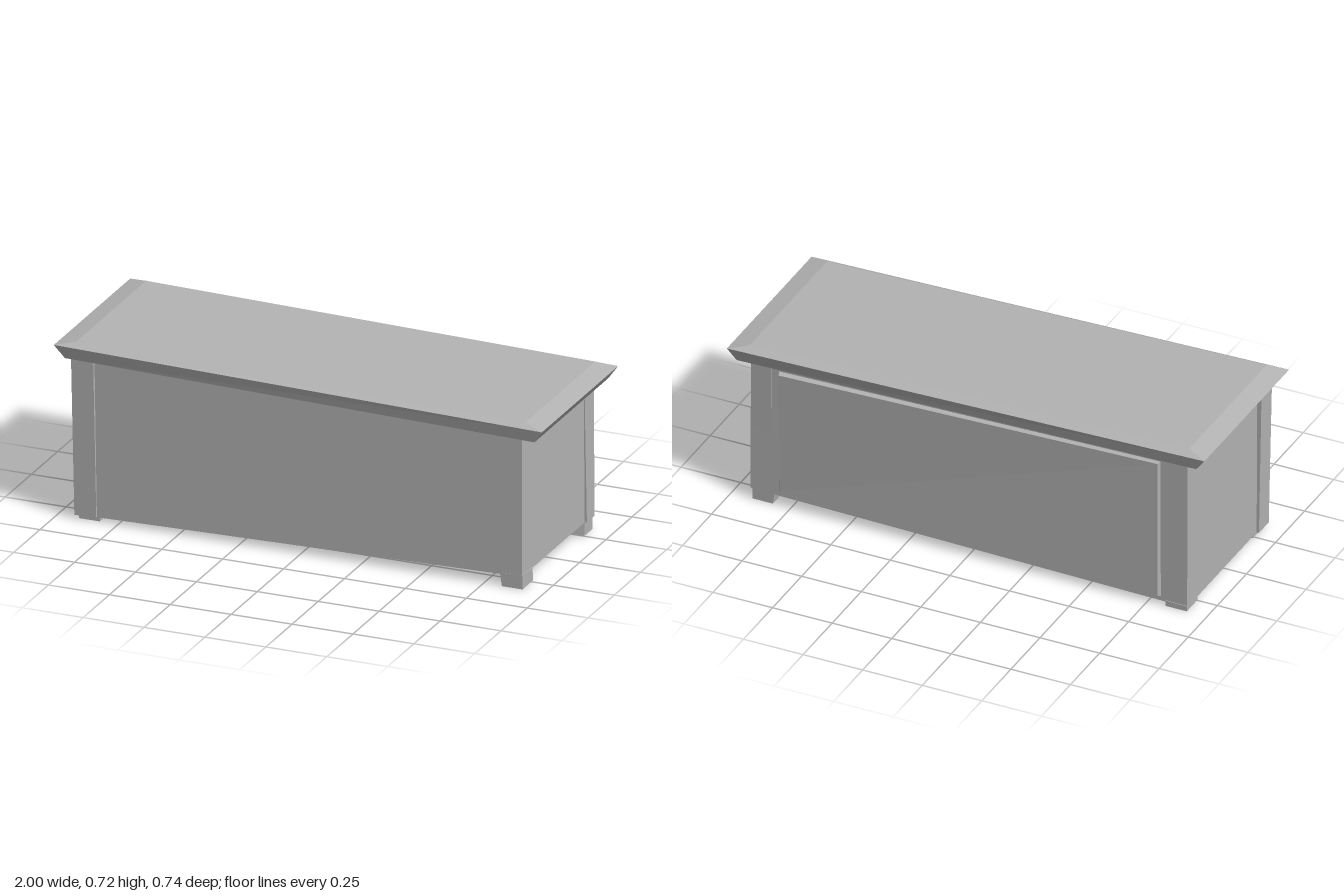
import * as THREE from 'three';

const grey = new THREE.MeshStandardMaterial({ color: 0xb4b4b4 });
grey.name = 'plain grey';

// Four-cornered rings stacked along y (or outward), skinned flat and capped at both ends.
// Corners run anticlockwise as seen from the far end of the stack.
function loft(name, rings) {
  const pos = [];
  const quad = (a, b, c, d) => pos.push(...a, ...b, ...c, ...a, ...c, ...d);
  for (let r = 0; r < rings.length - 1; r++) {
    for (let i = 0; i < 4; i++) {
      const j = (i + 1) % 4;
      quad(rings[r][i], rings[r][j], rings[r + 1][j], rings[r + 1][i]);
    }
  }
  quad(...rings[rings.length - 1]);
  quad(...[...rings[0]].reverse());
  const geo = new THREE.BufferGeometry();
  geo.setAttribute('position', new THREE.Float32BufferAttribute(pos, 3));
  geo.computeVertexNormals();
  const mesh = new THREE.Mesh(geo, grey);
  mesh.name = name;
  return mesh;
}

// Horizontal ring: yL and yR are the heights at the two ends
const ring = (xL, xR, yL, yR, zBack, zFront, skew = 0) => [
  [xL, yL, zFront + skew], [xR, yR, zFront - skew],
  [xR, yR, zBack - skew], [xL, yL, zBack + skew],
];

// The whole chest sags towards +x and its underside rises
const underLid = (x) => 0.632 - 0.02 * x;
const underBody = (x) => 0.033 + 0.019 * x;
const level = (f, xL, xR, zB, zF, skew) => ring(xL, xR, f(xL), f(xR), zB, zF, skew);

export function createModel() {
  const model = new THREE.Group();
  model.name = 'chest';

  // Lid with a sharp rim and bevels above and below
  model.add(loft('lid', [
    ring(-0.96, 0.965, 0.65, 0.612, -0.352, 0.352, 0.003),
    ring(-1, 1, 0.702, 0.662, -0.365, 0.364, 0.004),
    ring(-0.92, 0.92, 0.718, 0.68, -0.332, 0.334, 0.004),
  ]));

  // Main box
  model.add(loft('body', [
    level(underBody, -0.915, 0.907, -0.338, 0.337, 0.003),
    level((x) => underLid(x) + 0.004, -0.918, 0.907, -0.34, 0.337, 0.003),
  ]));

  // Corner posts that stand proud of the box
  model.add(loft('frontPost', [
    level(underBody, -0.925, -0.835, 0.262, 0.346),
    level(underLid, -0.936, -0.845, 0.262, 0.352),
  ]));
  model.add(loft('backPost', [
    level(underBody, 0.83, 0.916, -0.338, -0.265),
    level(underLid, 0.825, 0.91, -0.346, -0.256),
  ]));

  // Raised panel on the back with a narrow bevelled edge
  const panelRing = (inset, z, lean) => {
    const xR = 0.795 - inset, xL = -0.805 + inset;
    const lo = (x) => underBody(x) + 0.018 + inset;
    const hi = (x) => underLid(x) - 0.012 - inset;
    return [
      [xR, lo(xR), z], [xL, lo(xL), z],
      [xL, hi(xL), z], [xR, hi(xR), z - lean],
    ];
  };
  model.add(loft('backPanel', [panelRing(0, -0.335, 0), panelRing(0.008, -0.349, 0.013)]));

  // Short tapered feet
  const feet = [
    ['frontFootRight', -0.91, -0.825, 0.24, 0.335],
    ['frontFootLeft', 0.825, 0.91, 0.235, 0.335],
    ['backFootRight', -0.915, -0.825, -0.338, -0.245],
    ['backFootLeft', 0.825, 0.911, -0.332, -0.25],
  ];
  for (const [name, xL, xR, zB, zF] of feet) {
    const t = xL > 0 ? 0.008 : 0;
    const inner = zF > 0 ? [t, 0] : [0, -t];
    model.add(loft(name, [
      ring(xL, xR, 0, 0, zB, zF),
      level((x) => underBody(x) + 0.006, xL - t, xR, zB + inner[0] / 2, zF + inner[1]),
    ]));
  }

  return model;
}
